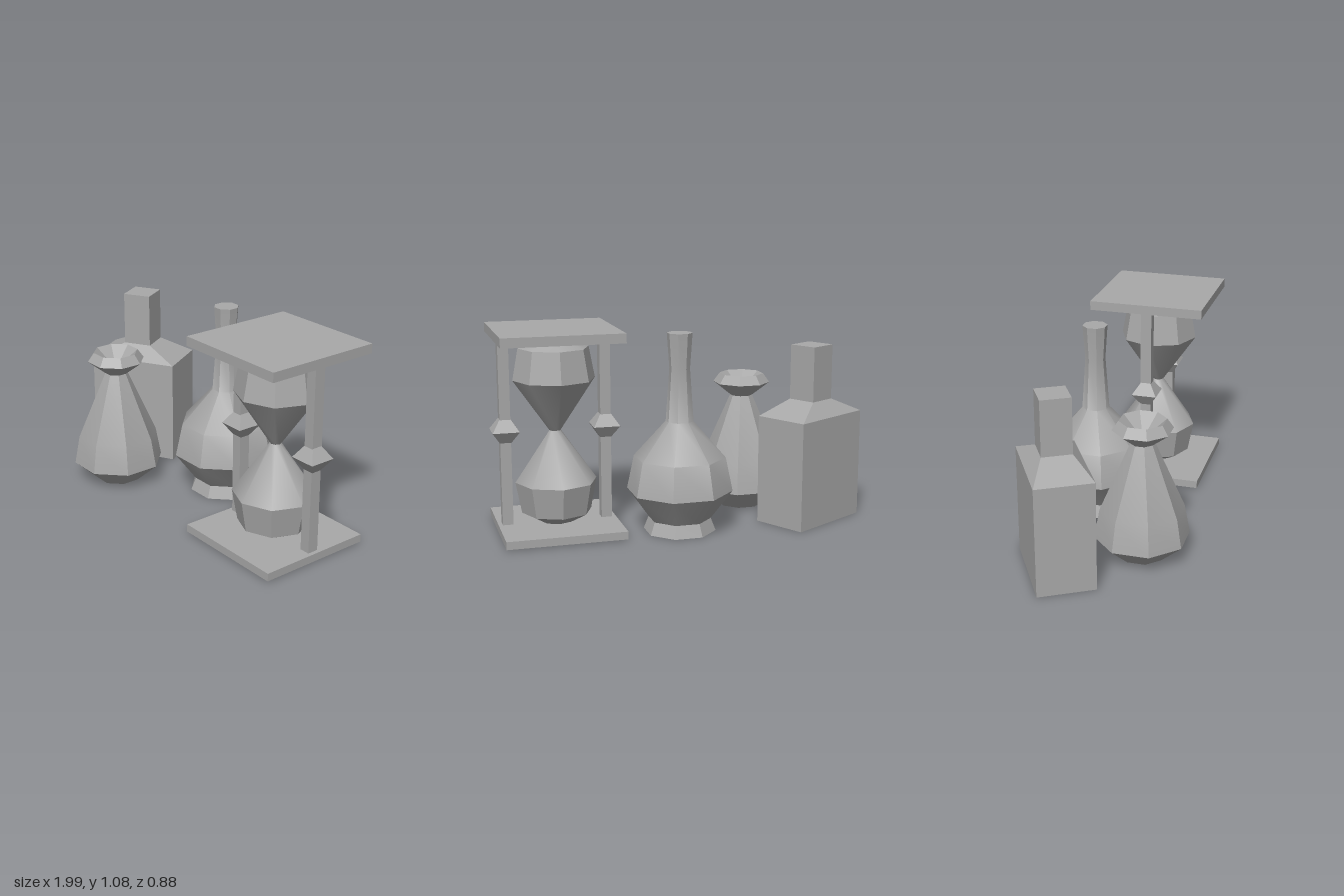
import * as THREE from 'three';
import { toCreasedNormals } from 'three/addons/utils/BufferGeometryUtils.js';

const grey = new THREE.MeshStandardMaterial({ color: 0xa8a8a8 });
grey.name = 'grey';

function add(parent, name, geometry, x = 0, y = 0, z = 0) {
  const mesh = new THREE.Mesh(geometry, grey);
  mesh.name = name;
  mesh.position.set(x, y, z);
  parent.add(mesh);
  return mesh;
}

// Faceted turned body; profile is [radius, height] from bottom to top.
// flat = true puts flat sides on the axes and reads radii as half widths.
function turned(profile, sides, flat, crease = 0.7) {
  const k = flat ? 1 / Math.cos(Math.PI / sides) : 1;
  const points = profile.map(([r, y]) => new THREE.Vector2(r * k, y));
  const geo = new THREE.LatheGeometry(points, sides);
  if (flat) geo.rotateY(Math.PI / sides);
  return toCreasedNormals(geo, crease);
}

function hourglass() {
  const g = new THREE.Group();
  g.name = 'hourglass';
  // end plates
  add(g, 'bottomPlate', new THREE.BoxGeometry(0.63, 0.042, 0.63), 0, 0.029, 0);
  add(g, 'topPlate', new THREE.BoxGeometry(0.63, 0.05, 0.63), 0, 1.055, 0);
  // double glass bulb, its lower tip pokes through the plate
  const half = [[0, 0], [0.186, 0.102], [0.217, 0.268], [0.03, 0.54]];
  const upper = half.slice(0, 3).reverse().map(([r, y]) => [r, 1.08 - y]);
  add(g, 'bulbs', turned([...half, ...upper], 8, false));
  // side posts with a pointed bead
  for (const side of [-1, 1]) {
    add(g, 'post', new THREE.BoxGeometry(0.056, 1.04, 0.06), side * 0.265, 0.524, 0);
    const bead = turned([[0, -0.107], [0.07, 0], [0, 0.107]], 4, true, 0.1);
    add(g, 'bead', bead, side * 0.265, 0.553, 0);
  }
  return g;
}

// Square-shouldered bottle: a box whose rows are resized into body, shoulder and neck
function squareBottle() {
  const rows = [[0.502, 0.302, 0], [0.502, 0.302, 0.585], [0.157, 0.157, 0.665], [0.157, 0.157, 0.96]];
  const box = new THREE.BoxGeometry(1, 1, 1, 1, 3, 1);
  const p = box.attributes.position;
  for (let i = 0; i < p.count; i++) {
    const [w, d, y] = rows[Math.round((p.getY(i) + 0.5) * 3)];
    p.setXYZ(i, p.getX(i) * w, y, p.getZ(i) * d);
  }
  const geo = box.toNonIndexed();
  geo.computeVertexNormals();
  return geo;
}

export function createModel() {
  const model = new THREE.Group();
  model.name = 'bottlesAndHourglass';

  const glass = hourglass();
  glass.position.set(0.66, 0, 0.007);
  model.add(glass);

  // round flask with a foot and a long neck
  add(model, 'roundFlask', turned([
    [0, 0], [0.178, 0], [0.154, 0.067], [0.26, 0.22], [0.225, 0.4],
    [0.068, 0.59], [0.05, 0.87], [0.062, 1.055], [0, 1.055],
  ], 8, true), 0.035, 0, -0.184);

  // tapered vial with a flared, hollow lip
  add(model, 'taperedVial', turned([
    [0, 0], [0.115, 0], [0.23, 0.11], [0.203, 0.267], [0.057, 0.632],
    [0.145, 0.706], [0.113, 0.755], [0, 0.65],
  ], 8, true, 0.3), -0.44, 0, 0.208);

  // square bottle, turned on its base
  add(model, 'squareBottle', squareBottle(), -0.706, 0, -0.167).rotation.y = Math.PI / 6;

  return model;
}
